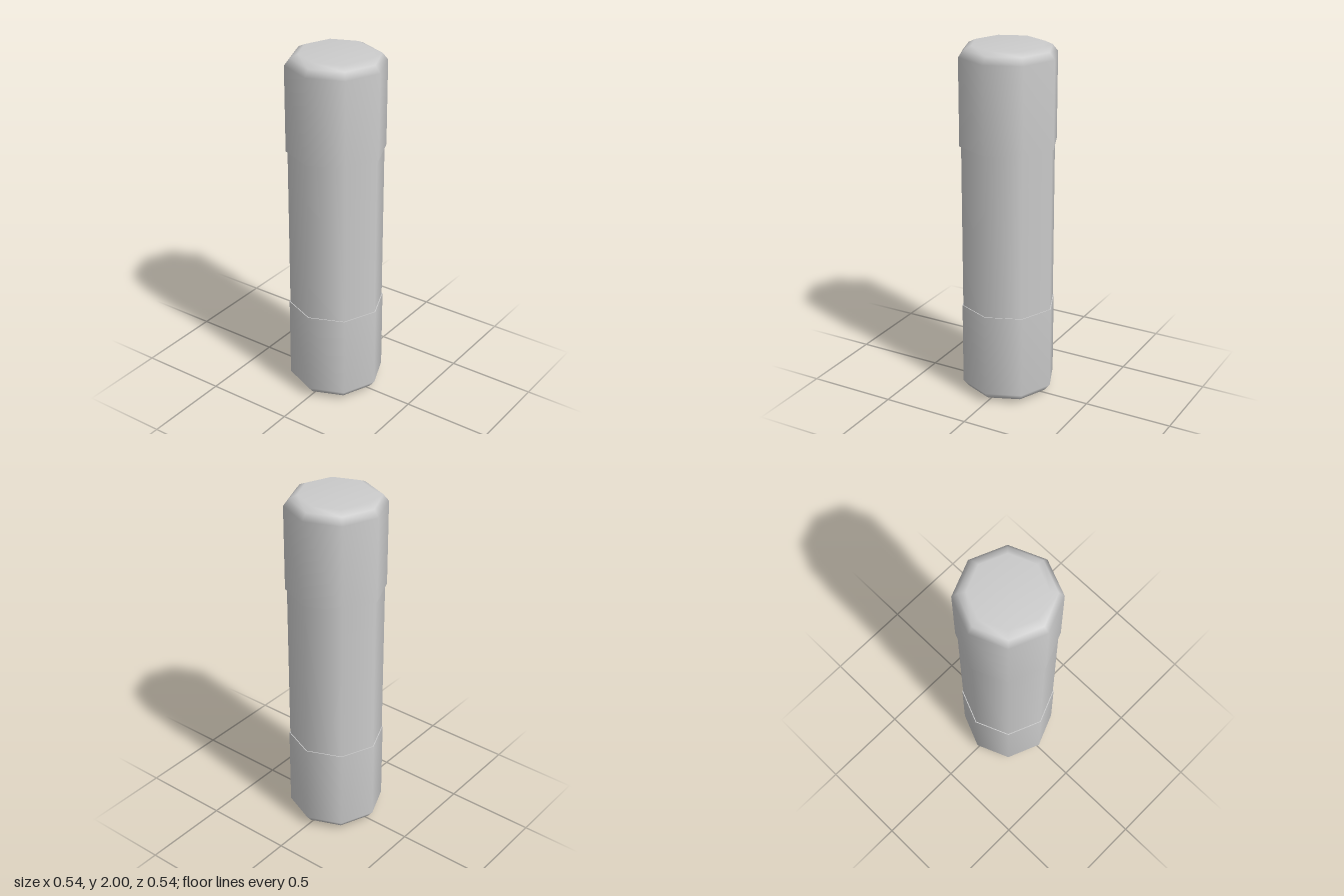
import * as THREE from 'three';

const SIDES = 8;
const material = new THREE.MeshStandardMaterial({ color: 0xcccccc });

// Smooth-shaded octagonal turning; profile runs bottom to top as [radius, y]
function turned(name, profile) {
  const points = profile.map(([r, y]) => new THREE.Vector2(r, y));
  const mesh = new THREE.Mesh(new THREE.LatheGeometry(points, SIDES), material);
  mesh.name = name;
  return mesh;
}

// Rounded end cap with a separate rim so the step stays sharp
function endCap(name, radius, rimY, endY, innerRadius) {
  const dir = Math.sign(endY - rimY);
  const shell = [
    [radius, rimY],
    [radius, endY - dir * 0.058],
    [radius - 0.03, endY - dir * 0.02],
    [radius - 0.072, endY],
    [0, endY],
  ];
  const rim = [[innerRadius, rimY], [radius, rimY]];
  if (dir < 0) {
    shell.reverse();
    rim.reverse();
  }
  const cap = new THREE.Group();
  cap.name = name;
  cap.add(turned(name + 'Shell', shell), turned(name + 'Rim', rim));
  return cap;
}

export function createModel() {
  const model = new THREE.Group();
  model.name = 'cappedTube';

  // Tube body, tucked slightly into both caps
  const bodyRadius = 0.262;
  model.add(turned('tubeBody', [[bodyRadius, 0.52], [bodyRadius, 1.47]]));

  // Upper and lower caps
  model.add(endCap('upperCap', 0.272, 1.46, 2, bodyRadius - 0.004));
  model.add(endCap('lowerCap', 0.267, 0.53, 0, bodyRadius - 0.004));
  return model;
}
